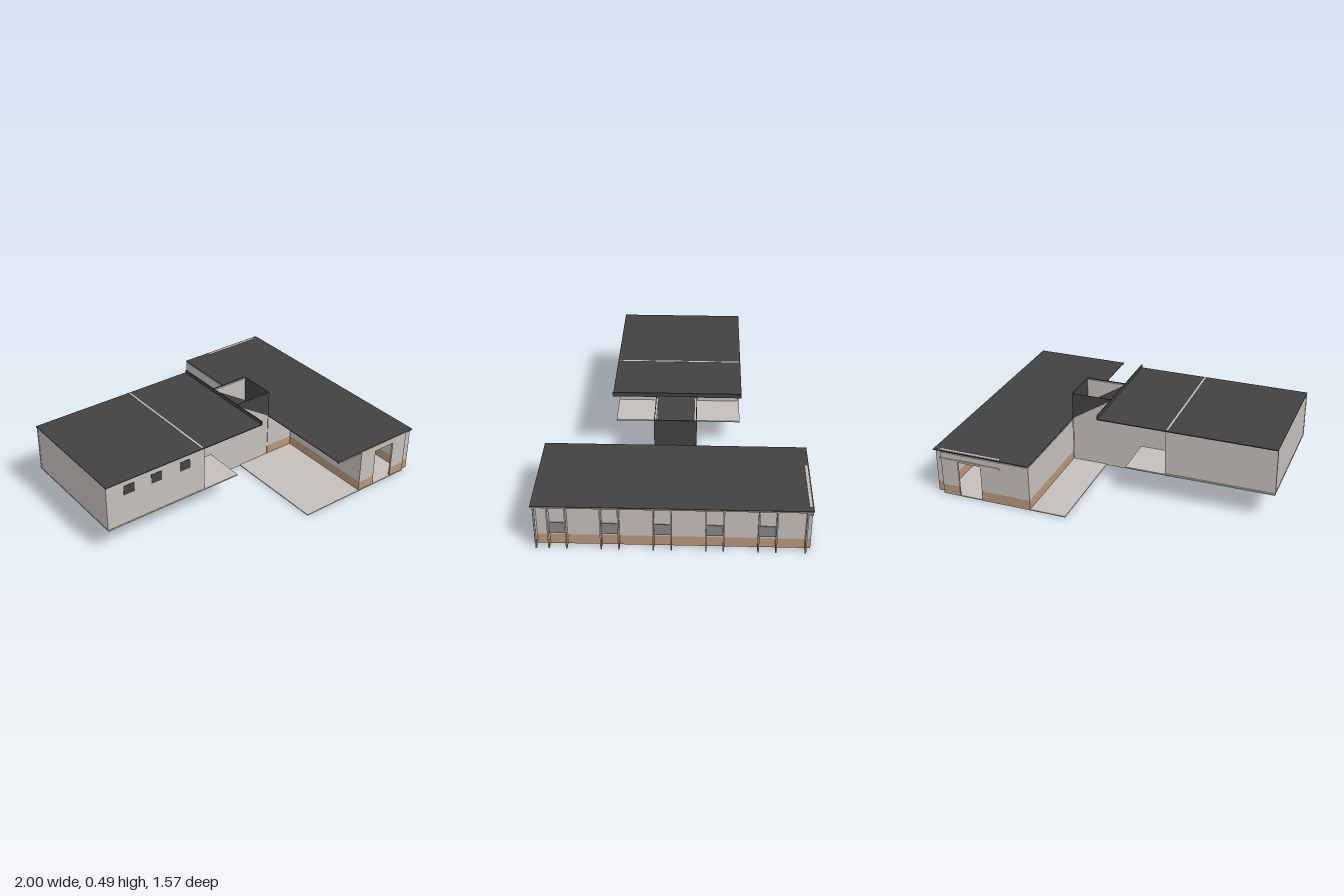
import * as THREE from 'three';

const mat = (name, color, side = THREE.FrontSide) => {
  const m = new THREE.MeshStandardMaterial({ color, side });
  m.name = name;
  return m;
};

export function createModel() {
  const model = new THREE.Group();
  model.name = 'building';
  const wall = mat('pale wall', 0xc4bfba);
  const dark = mat('dark roof', 0x424242);
  const tan = mat('tan base', 0xb8967a);
  const glass = mat('grey window', 0x727272);
  const T = 0.012;

  // box given by its limits on each axis
  const box = (name, m, x0, x1, y0, y1, z0, z1, parent = model) => {
    const mesh = new THREE.Mesh(new THREE.BoxGeometry(x1 - x0, y1 - y0, z1 - z0), m);
    mesh.position.set((x0 + x1) / 2, (y0 + y1) / 2, (z0 + z1) / 2);
    mesh.name = name;
    parent.add(mesh);
    return mesh;
  };
  // profile in x and y, extruded from z0 to z1
  const prism = (name, m, pts, z0, z1) => {
    const shape = new THREE.Shape(pts.map(([x, y]) => new THREE.Vector2(x, y)));
    const geo = new THREE.ExtrudeGeometry(shape, { depth: z1 - z0, bevelEnabled: false });
    const mesh = new THREE.Mesh(geo, m);
    mesh.position.z = z0;
    mesh.name = name;
    model.add(mesh);
  };
  // wall with a tan band along its foot
  const bandedWall = (name, x0, x1, z0, z1, top = 0.284) => {
    const g = new THREE.Group();
    g.name = name;
    box('base', tan, x0, x1, 0, 0.065, z0, z1, g);
    box('upper', wall, x0, x1, 0.065, top, z0, z1, g);
    model.add(g);
  };

  // --- raised hall ---
  box('hallFloor', wall, -1, -0.083, 0.172, 0.18, -0.4, 0.39);
  box('hallRoof', dark, -1, 0.1, 0.464, 0.47, -0.4, 0.39);
  box('roofFascia', dark, 0.094, 0.1, 0.464, 0.492, -0.395, 0.39);
  box('roofSeam', wall, -0.345, -0.333, 0.466, 0.4715, -0.39, 0.385);
  box('hallFrontWall', wall, -1, -0.33, 0.18, 0.464, 0.388 - T, 0.388);
  box('hallBackWall', wall, -1, -0.33, 0.18, 0.464, -0.39, -0.39 + T);
  box('hallEndWall', wall, -0.998, -0.998 + T, 0.18, 0.464, -0.39, 0.388);
  box('recessWallFront', wall, -0.33 - T, -0.33, 0.18, 0.464, 0.12, 0.388);
  box('recessWallBack', wall, -0.33 - T, -0.33, 0.18, 0.464, -0.39, -0.125);
  for (const x of [-0.85, -0.665, -0.468])
    box('hallWindow', dark, x - 0.036, x + 0.036, 0.375, 0.436, 0.386, 0.39);

  // --- connecting passage, with its roof sloping down between the side walls ---
  box('passageFrontWall', wall, -0.33, 0.372, 0, 0.464, 0.12 - T, 0.12);
  box('passageBackWall', wall, -0.33, 0.372, 0, 0.464, -0.125, -0.125 + T);
  const gable = [[0.1, 0.47], [0.375, 0.295], [0.375, 0.47]];
  prism('gablePanelFront', dark, gable, 0.119, 0.123);
  prism('gablePanelBack', dark, gable, -0.128, -0.124);
  prism('passageRoof', dark, [[0.1, 0.46], [0.372, 0.287], [0.372, 0.297], [0.1, 0.47]], -0.124, 0.119);
  box('passageEnd', dark, 0.368, 0.376, 0.29, 0.47, -0.125, 0.12);
  prism('passageRamp', dark, [[-0.083, 0.17], [0.15, 0], [0.165, 0], [-0.083, 0.18]], -0.113, 0.108);

  // --- long low wing ---
  box('groundSlab', wall, 0.15, 0.95, 0, 0.006, -0.783, 0.78);
  box('wingRoof', dark, 0.375, 1, 0.291, 0.296, -0.785, 0.78);
  box('roofEdgeStrip', wall, 0.565, 0.96, 0.293, 0.2975, -0.777, -0.762);
  box('trimEast', tan, 0.985, 0.997, 0.282, 0.291, -0.755, 0.778);
  box('trimFront', tan, 0.377, 0.997, 0.282, 0.291, 0.767, 0.778);

  // end walls with an open doorway
  const ends = [
    ['frontEnd', 0.57, 0.778 - T, 0.778],
    ['backEnd', 0.375, -0.783, -0.783 + T],
  ];
  for (const [name, x0, z0, z1] of ends) {
    bandedWall(name + 'WallLeft', x0, 0.69, z0, z1);
    bandedWall(name + 'WallRight', 0.84, 0.95, z0, z1);
    box(name + 'Lintel', wall, 0.69, 0.84, 0.25, 0.284, z0, z1);
  }
  box('backBeam', wall, 0.565, 0.96, 0.235, 0.247, -0.787, -0.77);

  // west side: closed behind the passage, set back as a porch in front
  bandedWall('westWallBack', 0.375, 0.375 + T, -0.783, -0.125);
  bandedWall('porchWall', 0.57, 0.57 + T, 0.12, 0.778);
  bandedWall('porchEndWall', 0.375, 0.57 + T, 0.12 - T, 0.12);

  // east wall with pairs of fins framing small sloping windows
  bandedWall('eastWall', 0.938, 0.95, -0.783, 0.778);
  const fin = (z) => bandedWall('fin', 0.95, 0.998, z - 0.004, z + 0.004);
  fin(0.762);
  fin(-0.753);
  for (let i = 0; i < 5; i++) {
    const z = 0.64 - i * 0.2945;
    fin(z + 0.05);
    fin(z - 0.05);
    prism('wingWindow', glass, [[0.945, 0.102], [0.985, 0.102], [0.955, 0.15], [0.945, 0.15]], z - 0.046, z + 0.046);
  }
  return model;
}
